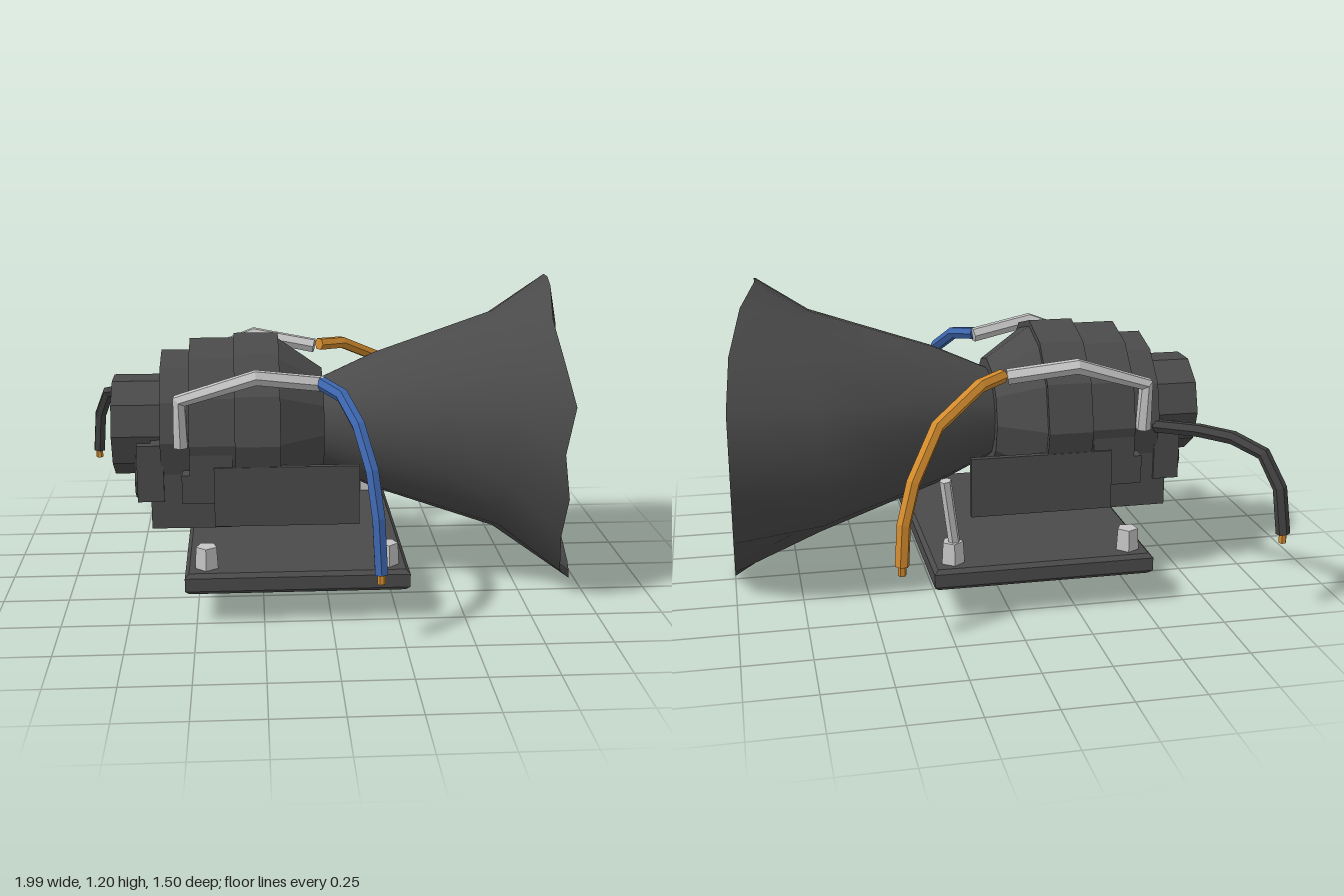
import * as THREE from 'three';

const V = (x, y, z) => new THREE.Vector3(x, y, z);
const AXIS_Y = 0.635; // height of the main axis, which runs along x

const mat = (name, color) => {
  const m = new THREE.MeshStandardMaterial({ color });
  m.name = name;
  return m;
};

// faceted normals
function flat(geo) {
  const g = geo.index ? geo.toNonIndexed() : geo;
  g.computeVertexNormals();
  return g;
}

// skin over rings of equal length; rings run clockwise seen from the far end
function loft(rings) {
  const n = rings[0].length, pos = [], idx = [];
  rings.forEach(r => r.forEach(p => pos.push(p.x, p.y, p.z)));
  for (let i = 0; i < rings.length - 1; i++) {
    for (let j = 0; j < n; j++) {
      const a = i * n + j, b = i * n + (j + 1) % n;
      idx.push(a, a + n, b, b, a + n, b + n);
    }
  }
  const g = new THREE.BufferGeometry();
  g.setAttribute('position', new THREE.Float32BufferAttribute(pos, 3));
  g.setIndex(idx);
  g.computeVertexNormals();
  return g;
}

// six-sided tube with mitred corners and closed ends
function rod(points, r) {
  const pts = points.map(p => V(...p));
  const last = pts.length - 1;
  const side = pts[last].clone().sub(pts[0]).setY(0);
  if (side.length() < 1e-4) side.set(1, 0, 0);
  side.cross(V(0, 1, 0)).normalize();
  const rings = pts.map((p, i) => {
    const before = pts[Math.max(i - 1, 0)], after = pts[Math.min(i + 1, last)];
    const t = V(0, 0, 0);
    if (i > 0) t.add(p.clone().sub(before).normalize());
    if (i < last) t.add(after.clone().sub(p).normalize());
    t.normalize();
    const n = side.clone().addScaledVector(t, -side.dot(t)).normalize();
    const v = t.clone().cross(n);
    return Array.from({ length: 6 }, (_, k) => {
      const a = k * Math.PI / 3;
      return p.clone().addScaledVector(n, r * Math.cos(a)).addScaledVector(v, -r * Math.sin(a));
    });
  });
  rings.unshift(rings[0].map(() => pts[0].clone()));
  rings.push(rings[rings.length - 1].map(() => pts[last].clone()));
  return flat(loft(rings));
}

export function createModel() {
  const model = new THREE.Group();
  model.name = 'hornDevice';
  const dark = mat('darkGrey', 0x4a4a4a);
  const black = mat('cableBlack', 0x404040);
  const steel = mat('lightSteel', 0xc4c4c4);
  const blue = mat('blueInsulation', 0x3d66ae);
  const orange = mat('orangeCopper', 0xd28b2e);
  const hornMat = mat('hornGrey', 0x4a4a4a);
  hornMat.side = THREE.DoubleSide;

  const add = (name, geo, material, x = 0, y = 0, z = 0) => {
    const m = new THREE.Mesh(geo, material);
    m.name = name;
    m.position.set(x, y, z);
    model.add(m);
    return m;
  };
  const box = (name, x0, x1, y0, y1, z0, z1, material = dark) =>
    add(name, new THREE.BoxGeometry(x1 - x0, y1 - y0, z1 - z0), material,
      (x0 + x1) / 2, (y0 + y1) / 2, (z0 + z1) / 2);
  // drum along x, r0 at x0 and r1 at x1
  const drum = (name, x0, x1, r0, r1, sides, y = AXIS_Y, z = 0) => {
    const g = new THREE.CylinderGeometry(r1, r0, x1 - x0, sides);
    g.rotateZ(-Math.PI / 2);
    return add(name, flat(g), dark, (x0 + x1) / 2, y, z);
  };

  // Bevelled base plate
  const plate = new THREE.Shape();
  const hx = 0.4, hz = 0.515;
  plate.moveTo(-hx, -hz).lineTo(hx, -hz).lineTo(hx, hz).lineTo(-hx, hz).closePath();
  const plateGeo = new THREE.ExtrudeGeometry(plate, {
    depth: 0.05, bevelEnabled: true, bevelThickness: 0.015, bevelSize: 0.015, bevelSegments: 1
  });
  plateGeo.rotateX(-Math.PI / 2);
  add('basePlate', plateGeo, dark, -0.125, 0.135, -0.01);

  // Corner bolts
  [[-0.46, -0.46], [-0.46, 0.44], [0.21, -0.46], [0.21, 0.44]].forEach(([x, z], i) => {
    const bolt = add('bolt', flat(new THREE.CylinderGeometry(0.04, 0.045, 0.085, 5)), steel, x, 0.24, z);
    bolt.rotation.y = 0.5 + i * 0.7;
  });
  add('uprightPin', rod([[0.2, 0.25, -0.46], [0.24, 0.53, -0.49]], 0.022), steel);

  // Stepped motor body
  drum('rearCap', -0.82, -0.6, 0.195, 0.195, 10);
  drum('rearDrum', -0.63, -0.52, 0.295, 0.295, 12);
  drum('middleDrum', -0.52, -0.34, 0.34, 0.34, 12);
  drum('clampBand', -0.35, -0.18, 0.358, 0.358, 12);
  drum('frontCone', -0.18, -0.01, 0.335, 0.215, 12);

  // Lower housing, side plates and knobs
  box('lowerHousing', -0.67, -0.37, 0.29, 0.62, -0.26, 0.26);
  for (const s of [-1, 1]) {
    const z = s * 0.325;
    box('sidePlate', -0.43, 0.115, 0.32, 0.55, z - 0.012, z + 0.012);
    box('sideLatch', -0.55, -0.43, 0.41, 0.52, s * 0.29 - 0.04, s * 0.29 + 0.04);
    box('sideBlock', -0.52, -0.36, 0.5, 0.63, s * 0.29 - 0.04, s * 0.29 + 0.04);
    box('rearBracket', -0.72, -0.62, 0.4, 0.62, s * 0.25 - 0.02, s * 0.25 + 0.02);
    drum('knob', -0.73, -0.66, 0.085, 0.085, 10, 0.475, s * 0.17);
  }

  // Horn: round throat flaring to an uneven rim; rim points are z, y, x
  const rim = [
    [0, 1.2, 0.87], [-0.07, 1.2, 0.87], [-0.2, 1.13, 0.93], [-0.31, 0.98, 0.98], [-0.4, 0.8, 1],
    [-0.43, 0.64, 1], [-0.4, 0.47, 1], [-0.3, 0.27, 1], [-0.17, 0.1, 1], [0.03, 0, 1],
    [0.14, 0, 0.98], [0.31, 0.1, 0.9], [0.42, 0.28, 0.87], [0.48, 0.45, 0.88], [0.51, 0.63, 0.85],
    [0.48, 0.8, 0.89], [0.4, 0.94, 0.86], [0.25, 1.08, 0.84], [0.1, 1.18, 0.86]
  ];
  const hornRings = (inset) => {
    const rings = [[-0.02, 0.17], [0.2, 0.27], [0.45, 0.355], [0.67, 0.43]].map(([x, r]) =>
      rim.map(([z, y]) => {
        const a = Math.atan2(z, y - AXIS_Y);
        return V(x, AXIS_Y + (r - inset) * Math.cos(a), (r - inset) * Math.sin(a));
      }));
    rings.push(rim.map(([z, y, x]) => {
      const d = Math.hypot(z, y - AXIS_Y), k = (d - inset) / d;
      return V(x, AXIS_Y + (y - AXIS_Y) * k, z * k);
    }));
    return rings;
  };
  const outer = hornRings(0), inner = hornRings(0.03);
  add('hornOuter', loft(outer), hornMat);
  add('hornInner', loft([...inner].reverse()), hornMat);
  add('hornRim', loft([outer[4], inner[4]]), hornMat);
  drum('throatDisc', -0.02, 0.03, 0.16, 0.16, 10);

  // Bent steel conduits on both sides
  for (const s of [-1, 1]) {
    const o = s < 0 ? 0.015 : 0;
    add('conduit', rod([
      [-0.55, 0.63, s * (0.32 + o)], [-0.55, 0.81, s * (0.335 + o)],
      [-0.27, 0.905, s * (0.385 + o)], [-0.02, 0.865, s * (0.33 + o)]
    ], 0.03), steel);
  }

  // Loose cables with bare copper ends
  const cable = (name, material, pts) => {
    add(name, rod(pts, 0.026), material);
    const [x, y, z] = pts[pts.length - 1];
    add(name + 'Tip', rod([[x, y + 0.01, z], [x, y - 0.035, z + 0.002]], 0.015), orange);
  };
  cable('blueCable', blue, [
    [-0.03, 0.87, 0.34], [0.04, 0.85, 0.45], [0.09, 0.77, 0.57],
    [0.13, 0.63, 0.66], [0.15, 0.47, 0.705], [0.16, 0.27, 0.725]
  ]);
  cable('orangeCable', orange, [
    [0, 0.87, -0.35], [0.1, 0.86, -0.43], [0.28, 0.76, -0.57],
    [0.38, 0.59, -0.655], [0.42, 0.45, -0.685], [0.43, 0.3, -0.695]
  ]);
  cable('blackCable', black, [
    [-0.62, 0.62, -0.28], [-0.74, 0.64, -0.43], [-0.83, 0.64, -0.54],
    [-0.91, 0.605, -0.64], [-0.955, 0.49, -0.7], [-0.97, 0.32, -0.72]
  ]);

  return model;
}
